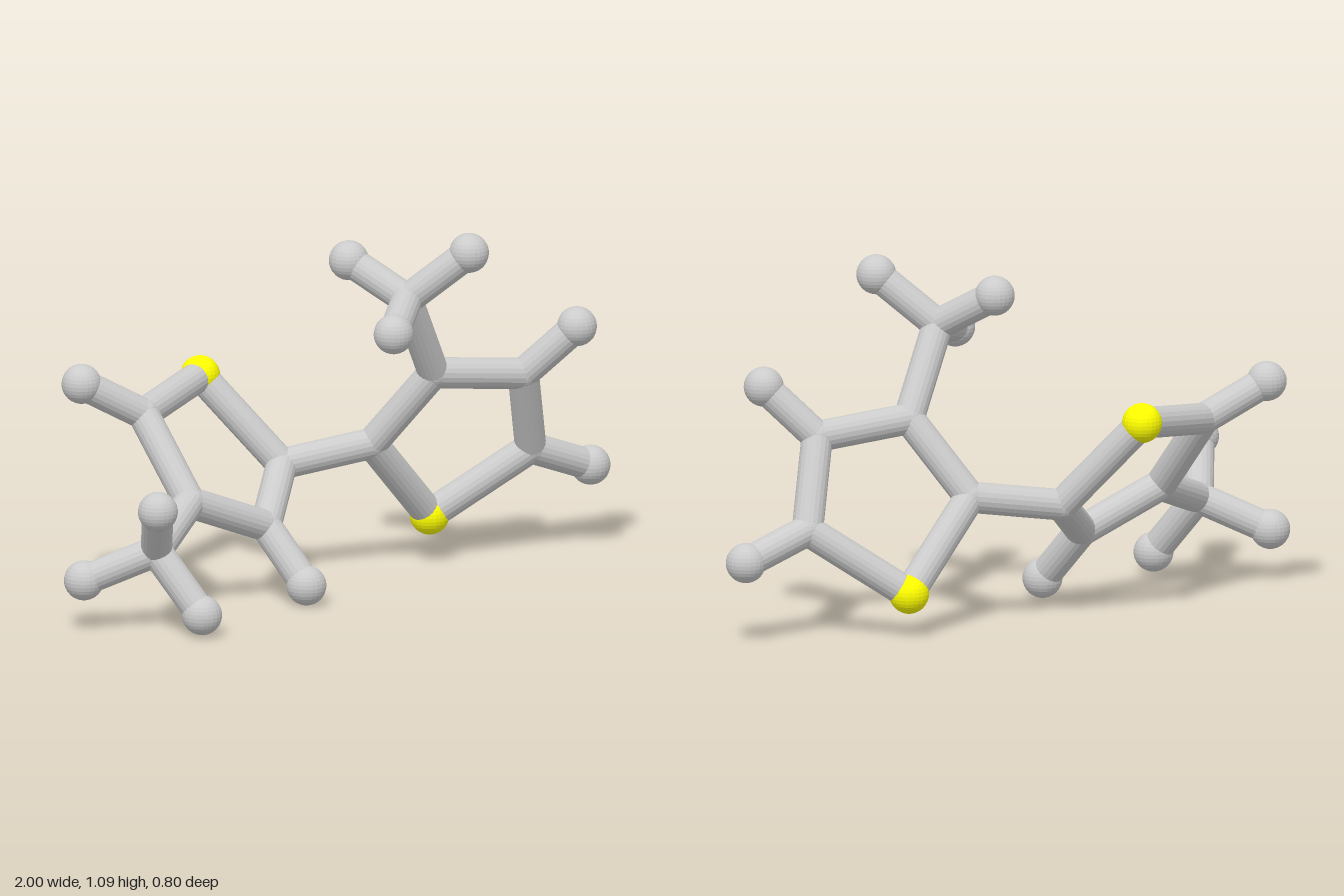
import * as THREE from 'three';

const ROD = 0.047, JOINT = 0.048, BALL = 0.06;
const grey = new THREE.MeshStandardMaterial({ color: 0xcccccc, flatShading: true });
const yellow = new THREE.MeshStandardMaterial({ color: 0xffff00, flatShading: true });

// Atom centres: ring corners, methyl carbons and end balls
const atoms = {
  // ring on the right-hand side
  sulfurA: [-0.246, 0.613, -0.341],
  a2: [-0.07, 0.352, -0.165],
  a3: [-0.255, 0.223, 0.03],
  a4: [-0.535, 0.333, 0.04],
  a5: [-0.563, 0.568, -0.17],
  endA3: [-0.203, 0.061, 0.171],
  endA5: [-0.748, 0.673, -0.225],
  methylA: [-0.765, 0.245, 0.207],
  endMA1: [-0.847, 0.402, 0.34],
  endMA2: [-0.94, 0.153, 0.079],
  endMA3: [-0.69, 0.065, 0.342],
  // ring on the left-hand side
  sulfurB: [0.455, 0.131, -0.157],
  b2: [0.21, 0.392, -0.1],
  b3: [0.337, 0.62, 0.043],
  b4: [0.633, 0.588, 0.082],
  b5: [0.727, 0.328, -0.02],
  endB4: [0.76, 0.736, 0.181],
  endB5: [0.94, 0.249, -0.018],
  methylB: [0.19, 0.88, 0.122],
  endMB1: [0.085, 0.983, -0.035],
  endMB2: [0.334, 1.027, 0.24],
  endMB3: [0.025, 0.828, 0.299],
};

// Chains of atoms joined by rods
const chains = [
  ['sulfurA', 'a2', 'a3', 'a4', 'a5', 'sulfurA'],
  ['sulfurB', 'b2', 'b3', 'b4', 'b5', 'sulfurB'],
  ['a2', 'b2'],
  ['a3', 'endA3'], ['a5', 'endA5'], ['b4', 'endB4'], ['b5', 'endB5'],
  ['a4', 'methylA', 'endMA1'], ['methylA', 'endMA2'], ['methylA', 'endMA3'],
  ['b3', 'methylB', 'endMB1'], ['methylB', 'endMB2'], ['methylB', 'endMB3'],
];

function rod(from, to) {
  const a = new THREE.Vector3(...from), b = new THREE.Vector3(...to);
  const dir = b.clone().sub(a);
  const mesh = new THREE.Mesh(new THREE.CylinderGeometry(ROD, ROD, dir.length(), 20), grey);
  mesh.position.copy(a).add(b).multiplyScalar(0.5);
  mesh.quaternion.setFromUnitVectors(new THREE.Vector3(0, 1, 0), dir.normalize());
  mesh.name = 'bondRod';
  return mesh;
}

export function createModel() {
  const model = new THREE.Group();
  model.name = 'molecule';

  // Balls at the ends, yellow balls for sulfur, small round joints for carbon
  for (const [key, position] of Object.entries(atoms)) {
    const isSulfur = key.startsWith('sulfur'), isEnd = key.startsWith('end');
    const radius = isSulfur || isEnd ? BALL : JOINT;
    const ball = new THREE.Mesh(new THREE.SphereGeometry(radius, 24, 16), isSulfur ? yellow : grey);
    ball.position.set(...position);
    ball.name = isSulfur ? 'sulfurBall' : isEnd ? 'hydrogenBall' : 'carbonJoint';
    model.add(ball);
  }

  // Rods between neighbours
  for (const chain of chains) {
    for (let i = 1; i < chain.length; i++) model.add(rod(atoms[chain[i - 1]], atoms[chain[i]]));
  }
  return model;
}
